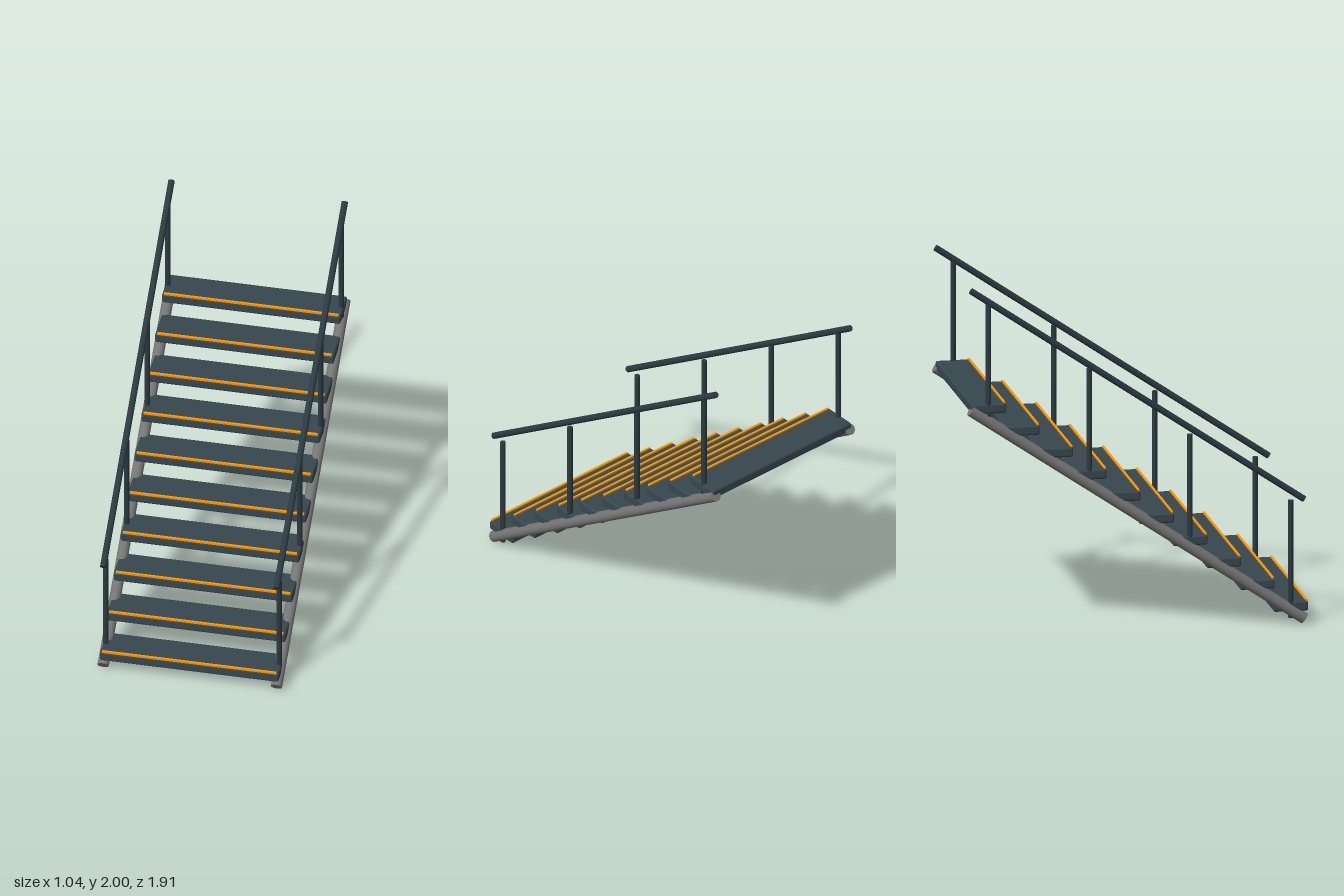
import * as THREE from 'three';
import { RoundedBoxGeometry } from 'three/addons/geometries/RoundedBoxGeometry.js';

const STEPS = 10, RISE = 0.1345, RUN = 0.1887;
const SIDE_X = 0.487;

const treadMat = new THREE.MeshStandardMaterial({ color: 0x37474f });
const nosingMat = new THREE.MeshStandardMaterial({ color: 0xff9800 });
const stringerMat = new THREE.MeshStandardMaterial({ color: 0x757575 });
const railMat = new THREE.MeshStandardMaterial({ color: 0x2b3a41 });

// Closed round bar between two points
function bar(name, a, b, radius, material) {
  const dir = new THREE.Vector3().subVectors(b, a);
  const mesh = new THREE.Mesh(new THREE.CylinderGeometry(radius, radius, dir.length(), 16), material);
  mesh.position.addVectors(a, b).multiplyScalar(0.5);
  mesh.quaternion.setFromUnitVectors(new THREE.Vector3(0, 1, 0), dir.normalize());
  mesh.name = name;
  return mesh;
}

export function createModel() {
  const group = new THREE.Group();
  group.name = 'staircase';
  const stepY = (i) => 0.1 + i * RISE;
  const stepZ = (i) => 0.861 - i * RUN;

  // Treads, each with a coloured strip along its front edge
  const treadGeo = new RoundedBoxGeometry(1.005, 0.056, 0.195, 2, 0.012);
  const nosingGeo = new THREE.BoxGeometry(0.98, 0.014, 0.012);
  for (let i = 0; i < STEPS; i++) {
    const tread = new THREE.Mesh(treadGeo, treadMat);
    tread.name = `tread${i + 1}`;
    tread.position.set(0, stepY(i), stepZ(i));
    const nosing = new THREE.Mesh(nosingGeo, nosingMat);
    nosing.name = `nosing${i + 1}`;
    nosing.position.set(0, 0.029, 0.088);
    tread.add(nosing);
    group.add(tread);
  }

  // Stringer, handrail and posts on each side
  for (const [side, x] of [['left', SIDE_X], ['right', -SIDE_X]]) {
    const p = (y, z) => new THREE.Vector3(x, y, z);
    group.add(bar(`${side}Stringer`, p(0.027, 0.937), p(1.304, -0.938), 0.032, stringerMat));
    group.add(bar(`${side}Handrail`, p(0.705, 0.936), p(1.984, -0.937), 0.018, railMat));
    for (let i = 0; i < STEPS; i += 3) {
      const y = stepY(i), z = stepZ(i);
      group.add(bar(`${side}Post${i / 3 + 1}`, p(y - 0.065, z), p(y + 0.603, z), 0.0155, railMat));
    }
  }
  return group;
}
